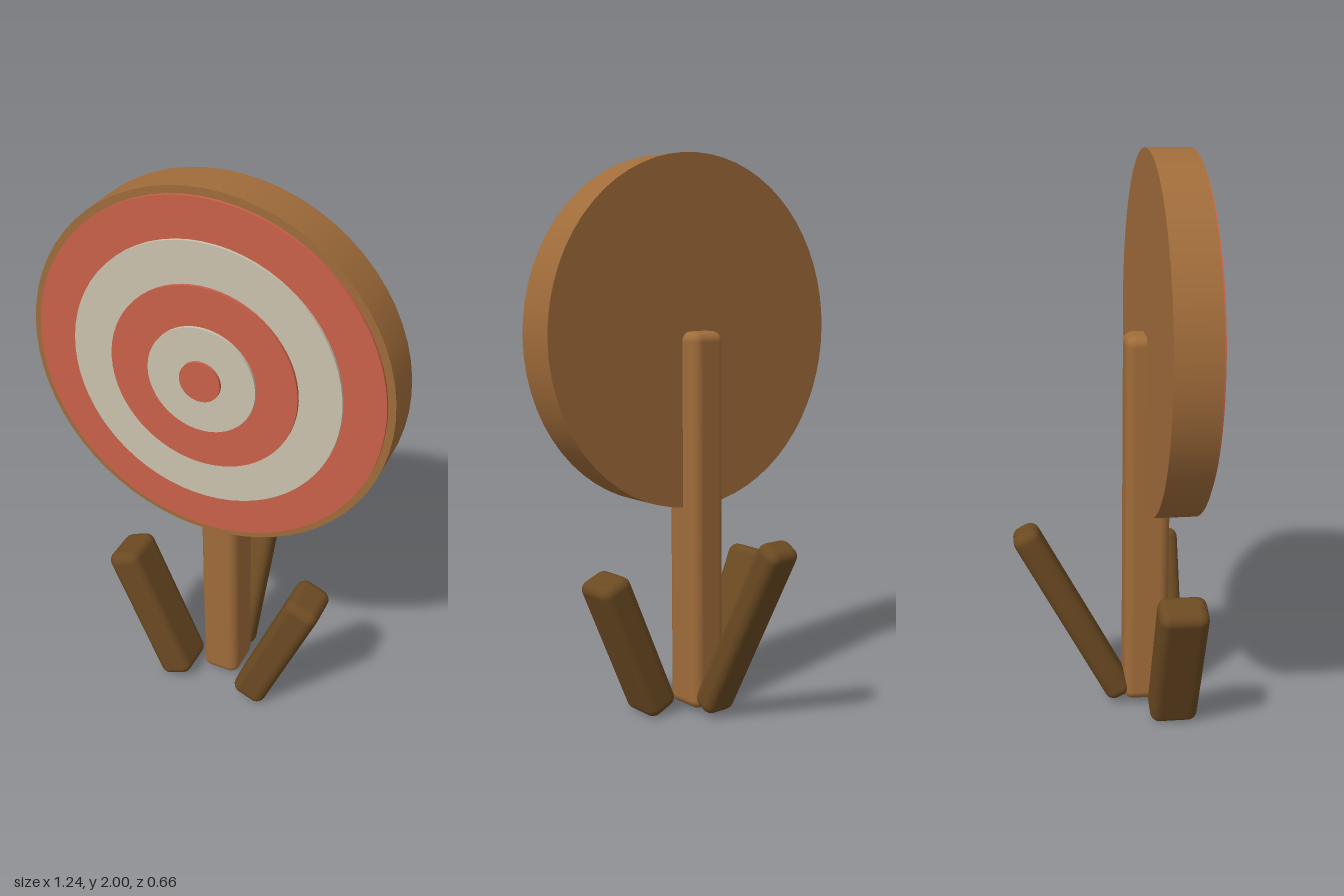
import * as THREE from 'three';
import { RoundedBoxGeometry } from 'three/addons/geometries/RoundedBoxGeometry.js';

const material = (name, color) => {
  const m = new THREE.MeshStandardMaterial({ color });
  m.name = name;
  return m;
};

export function createModel() {
  const wood = material('wood', 0xa06c3a);
  const darkWood = material('dark wood', 0x6b4a22);
  const red = material('red paint', 0xc9614a);
  const cream = material('cream paint', 0xcbc2ae);

  const model = new THREE.Group();
  model.name = 'archeryTarget';

  const add = (name, geometry, mat, x, y, z) => {
    const mesh = new THREE.Mesh(geometry, mat);
    mesh.name = name;
    mesh.position.set(x, y, z);
    model.add(mesh);
    return mesh;
  };
  const beam = (w, h, d) => new RoundedBoxGeometry(w, h, d, 3, 0.035);
  // Disc facing +z, spanning back to front
  const disc = (name, radius, back, front, mat) => {
    const g = new THREE.CylinderGeometry(radius, radius, front - back, 64).rotateX(Math.PI / 2);
    return add(name, g, mat, 0, 1.38, (back + front) / 2);
  };

  // Round board with stepped painted rings
  disc('board', 0.62, 0.13, 0.28, wood);
  [0.595, 0.46, 0.32, 0.185, 0.07].forEach((radius, i) => {
    const back = 0.28 + i * 0.01;
    disc(i === 4 ? 'bullseye' : `ring${i + 1}`, radius, back, back + 0.01, i % 2 ? cream : red);
  });

  // Upright post behind the board
  add('post', beam(0.14, 1.365, 0.16), wood, 0, 0.705, 0.14);

  // Two splayed front legs
  for (const side of [-1, 1]) {
    const leg = add(side > 0 ? 'leftLeg' : 'rightLeg', beam(0.126, 0.557, 0.17), darkWood, side * 0.248, 0.275, 0.223);
    leg.rotation.z = -side * 0.4;
  }

  // Back brace leaning rearward
  const brace = add('backLeg', beam(0.13, 0.745, 0.1), darkWood, 0, 0.361, -0.123);
  brace.rotation.x = -0.495;

  return model;
}
